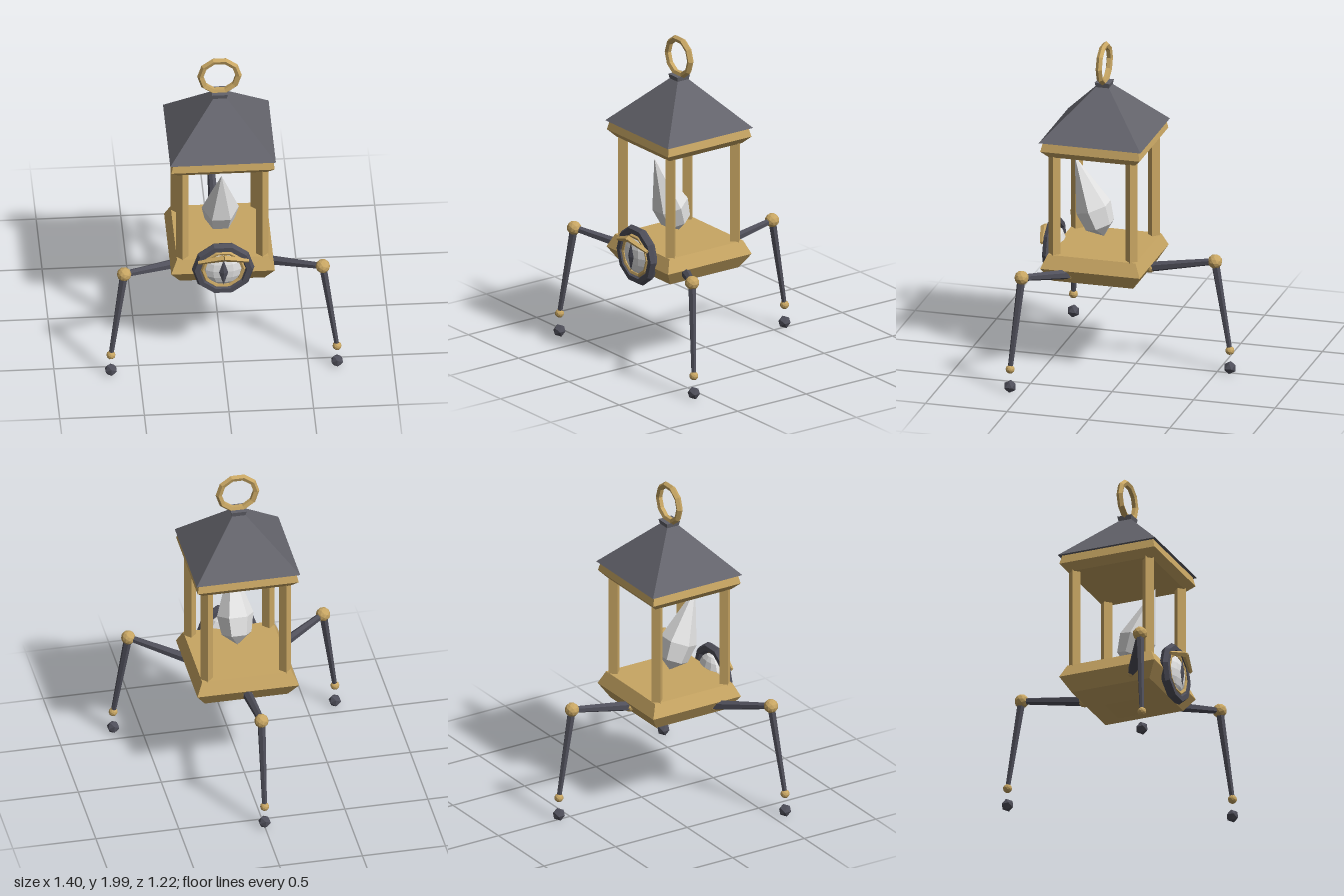
import * as THREE from 'three';

const mat = (name, color) => {
  const m = new THREE.MeshStandardMaterial({ color, flatShading: true });
  m.name = name;
  return m;
};

export function createModel() {
  const brass = mat('brass', 0xc8a663);
  const slate = mat('slate', 0x63636b);
  const iron = mat('iron', 0x4f4f5a);
  const white = mat('white', 0xe4e4e4);

  const model = new THREE.Group();
  model.name = 'walkingLantern';

  const add = (parent, name, geometry, material, x = 0, y = 0, z = 0) => {
    const mesh = new THREE.Mesh(geometry, material);
    mesh.name = name;
    mesh.position.set(x, y, z);
    parent.add(mesh);
    return mesh;
  };

  // Faceted solid from [radius, height] pairs, bottom to top
  const turned = (profile, sides, start) =>
    new THREE.LatheGeometry(profile.map(([r, y]) => new THREE.Vector2(r, y)), sides, start);
  // Square solid from [half width, height] pairs
  const square = (profile) =>
    turned(profile.map(([h, y]) => [h * Math.SQRT2, y]), 4, Math.PI / 4);

  // Tapered bar between two points
  const bar = (parent, name, a, b, ra, rb, sides, material) => {
    const d = b.clone().sub(a);
    const mesh = add(parent, name, new THREE.CylinderGeometry(rb, ra, d.length(), sides), material);
    mesh.position.copy(a).addScaledVector(d, 0.5);
    mesh.quaternion.setFromUnitVectors(new THREE.Vector3(0, 1, 0), d.normalize());
    return mesh;
  };

  // Lantern body
  const lantern = new THREE.Group();
  lantern.name = 'lantern';
  lantern.position.z = 0.193;
  model.add(lantern);

  add(lantern, 'base', square([
    [0, 0.53], [0.1, 0.53], [0.25, 0.577], [0.306, 0.665], [0.27, 0.745], [0, 0.745],
  ]), brass);
  add(lantern, 'eave', square([
    [0, 1.357], [0.265, 1.357], [0.305, 1.4], [0.292, 1.455], [0, 1.455],
  ]), brass);
  add(lantern, 'roof', square([
    [0, 1.455], [0.312, 1.455], [0.04, 1.74], [0.046, 1.768], [0, 1.768],
  ]), slate);
  for (const sx of [-1, 1]) {
    for (const sz of [-1, 1]) {
      add(lantern, 'post', new THREE.CylinderGeometry(0.037, 0.037, 0.63, 4), brass,
        sx * 0.236, 1.052, sz * 0.236);
    }
  }
  add(lantern, 'carryRing', new THREE.TorusGeometry(0.112, 0.02, 5, 10), brass, 0, 1.878, 0);

  // Flame leaning forward
  const flame = add(lantern, 'flame', turned([
    [0, 0], [0.09, 0.07], [0.11, 0.186], [0, 0.517],
  ], 6, Math.PI / 6), white, 0, 0.795, 0.002);
  flame.rotation.x = 0.355;

  // Eye on the front of the base
  const eye = new THREE.Group();
  eye.name = 'eye';
  eye.position.set(0, 0.7, 0.5);
  model.add(eye);
  add(eye, 'eyeRim', new THREE.TorusGeometry(0.155, 0.03, 6, 10), iron);
  add(eye, 'innerRim', new THREE.TorusGeometry(0.12, 0.013, 5, 10), brass, 0, 0, 0.012);
  add(eye, 'eyeball', new THREE.SphereGeometry(0.12, 12, 8), white, 0, 0, -0.01).scale.z = 0.45;
  add(eye, 'pupil', new THREE.OctahedronGeometry(1), iron, 0, 0, 0.046).scale.set(0.027, 0.09, 0.012);
  for (const s of [-1, 1]) {
    bar(eye, 'brow', new THREE.Vector3(0, 0.115, 0.064),
      new THREE.Vector3(s * 0.147, 0.068, 0.034), 0.02, 0.012, 4, brass);
  }

  // Three jointed legs: one behind, two mirrored in front
  const legs = [
    [[0, 0.63, -0.085], [0, 0.705, -0.487], [0, 0.155, -0.578]],
    ...[-1, 1].map((s) => [
      [s * 0.25, 0.63, 0.333], [s * 0.587, 0.705, 0.53], [s * 0.668, 0.155, 0.577],
    ]),
  ];
  for (const points of legs) {
    const [hip, knee, ankle] = points.map((p) => new THREE.Vector3(...p));
    const leg = new THREE.Group();
    leg.name = 'leg';
    model.add(leg);
    bar(leg, 'upperLeg', hip, knee, 0.031, 0.02, 6, iron);
    bar(leg, 'lowerLeg', knee, ankle, 0.025, 0.015, 6, iron);
    add(leg, 'hipJoint', new THREE.IcosahedronGeometry(0.036, 1), brass, ...hip);
    add(leg, 'kneeJoint', new THREE.IcosahedronGeometry(0.043, 1), brass, ...knee);
    add(leg, 'ankleJoint', new THREE.IcosahedronGeometry(0.027, 1), brass, ...ankle);
    add(leg, 'foot', new THREE.IcosahedronGeometry(0.039, 0), iron, ankle.x, 0.047, ankle.z);
  }
  return model;
}
